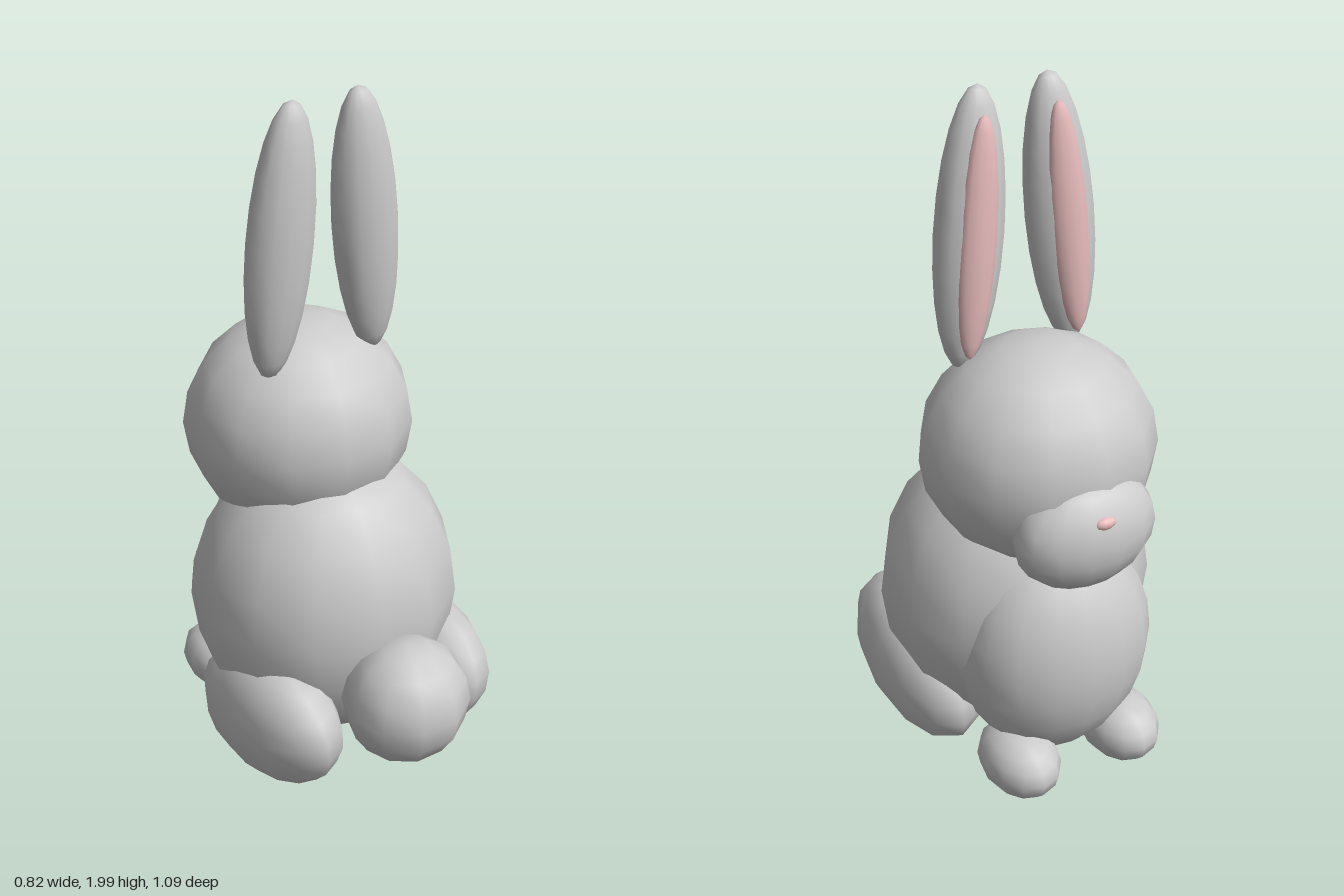
import * as THREE from 'three';

const grey = new THREE.MeshStandardMaterial({ color: 0xcccccc });
const pink = new THREE.MeshStandardMaterial({ color: 0xe8bcbc });

// An ellipsoid given by its centre, half sizes and side counts
function blob(name, center, radii, { around = 13, rings = 10, material = grey } = {}) {
  const mesh = new THREE.Mesh(new THREE.SphereGeometry(1, around, rings), material);
  mesh.name = name;
  mesh.position.set(...center);
  mesh.scale.set(...radii);
  return mesh;
}

// Upright ear with its pink lining, tipped slightly inward
function makeEar(side) {
  const ear = new THREE.Group();
  ear.name = side > 0 ? 'leftEar' : 'rightEar';
  ear.add(
    blob('outerEar', [0, 0, 0], [0.098, 0.391, 0.072], { rings: 12 }),
    blob('innerEar', [0, -0.01, -0.047], [0.055, 0.335, 0.035], { rings: 12, material: pink })
  );
  ear.position.set(side * 0.135, 1.61, -0.04);
  ear.rotation.set(0.03, 0, side * 0.09);
  return ear;
}

export function createModel() {
  const rabbit = new THREE.Group();
  rabbit.name = 'rabbit';

  // Trunk and head
  rabbit.add(
    blob('body', [0, 0.5, -0.04], [0.395, 0.45, 0.37]),
    blob('belly', [0, 0.41, -0.27], [0.29, 0.35, 0.227], { around: 16, rings: 12 }),
    blob('head', [0, 1.0, -0.17], [0.333, 0.317, 0.315]),
    blob('muzzle', [0, 0.87, -0.42], [0.21, 0.168, 0.127], { around: 14 }),
    blob('nose', [0, 0.945, -0.523], [0.032, 0.018, 0.018], { around: 10, rings: 8, material: pink }),
    blob('tail', [0, 0.34, 0.375], [0.185, 0.185, 0.175], { around: 10, rings: 8 })
  );

  // Paired parts
  for (const side of [1, -1]) {
    const prefix = side > 0 ? 'left' : 'right';
    const leg = blob(prefix + 'HindLeg', [side * 0.26, 0.215, 0.075], [0.15, 0.203, 0.302], { around: 12 });
    leg.rotation.set(-0.21, 0, side * -0.1);
    const paw = blob(prefix + 'FrontPaw', [side * 0.165, 0.107, -0.367], [0.11, 0.098, 0.148], { around: 12, rings: 8 });
    rabbit.add(makeEar(side), leg, paw);
  }
  return rabbit;
}
